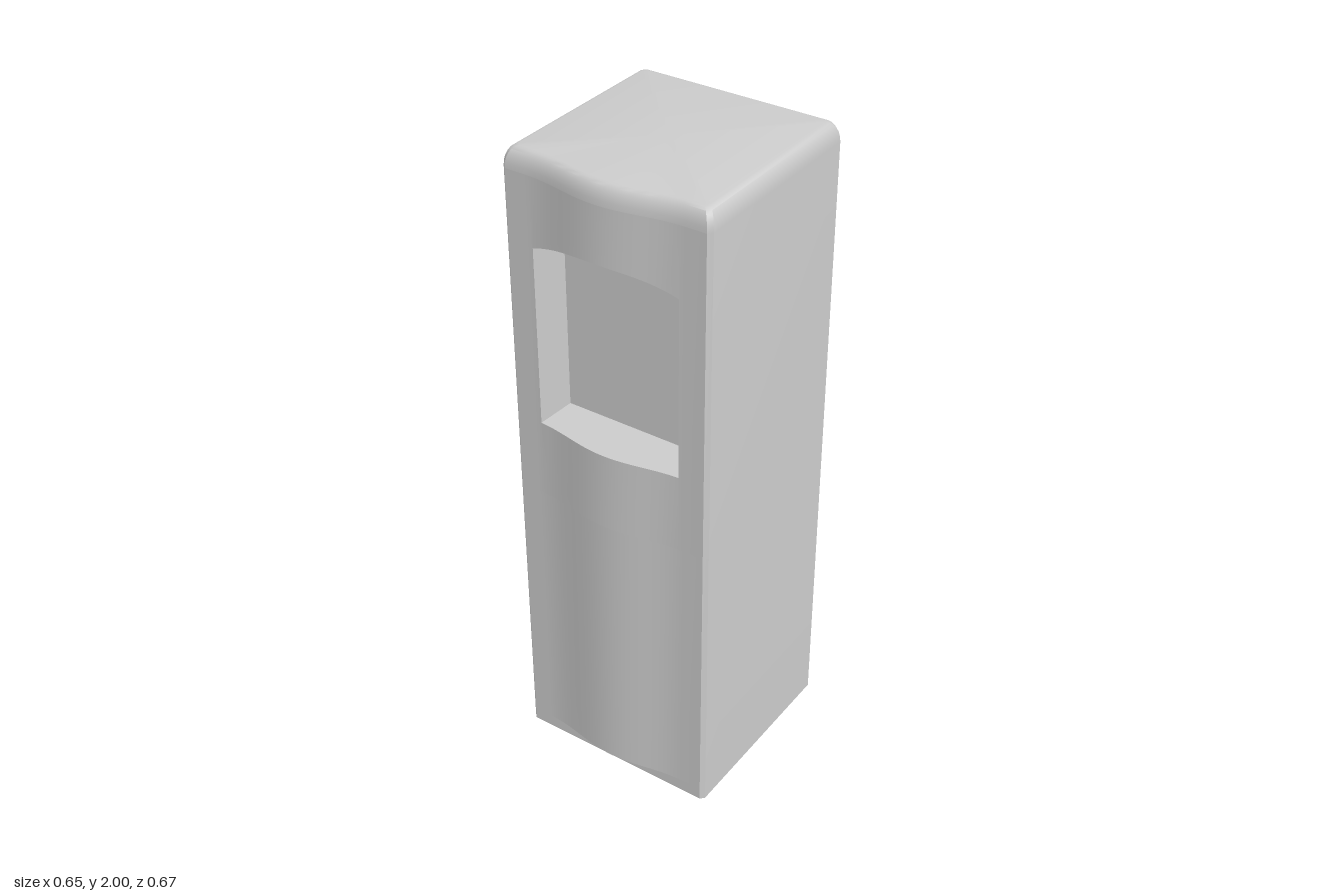
import * as THREE from 'three';
import { toCreasedNormals } from 'three/addons/utils/BufferGeometryUtils.js';

const W = 0.325, BACK = -0.333, FRONT = 0.3, CH = 0.012; // half width, depth, corner chamfer
const LIP = 0.04, SEAM = 0.93, SILL = 1.175, RIM = 1.94, TOP = 2;
const HOLE = 0.232, HOLE_Z = 0.175;

// Columns across the front, with extra ones over the niche opening
const columns = [-W + CH, -0.25];
for (let i = 0; i <= 16; i++) columns.push(-HOLE + (2 * HOLE * i) / 16);
columns.push(0.25, W - CH);

const bulge = (x) => (Math.abs(x) < 0.25 ? 0.0165 * (1 + Math.cos((Math.PI * x) / 0.25)) : 0);
const arch = (x) => 1.77 - 0.04 * (x / HOLE) ** 2;
const front = (x, y) => [x, y, FRONT + bulge(x)];

const material = new THREE.MeshStandardMaterial({ color: 0xcccccc });

// Mesh from a list of faces with three or four corners each
function meshFromFaces(name, faces) {
  const pos = [];
  for (const [a, b, c, d] of faces) {
    pos.push(...a, ...b, ...c);
    if (d) pos.push(...a, ...c, ...d);
  }
  const g = new THREE.BufferGeometry();
  g.setAttribute('position', new THREE.Float32BufferAttribute(pos, 3));
  const mesh = new THREE.Mesh(toCreasedNormals(g, 0.6), material);
  mesh.name = name;
  return mesh;
}

// Plan outline at height y, anticlockwise from above, front columns first
function outline(y, inset = 0, bulged = 1) {
  const w = W - inset, b = BACK + inset, f = FRONT - inset;
  const pts = columns.map((x) => [(x * w) / W, y, f + bulged * bulge(x)]);
  pts.push([w, y, f - CH], [w, y, b + CH], [w - CH, y, b], [-w + CH, y, b], [-w, y, b + CH], [-w, y, f - CH]);
  return pts;
}

function band(faces, low, high, from = 0) {
  for (let i = from; i < low.length; i++) {
    const j = (i + 1) % low.length;
    faces.push([low[i], low[j], high[j], high[i]]);
  }
}

function cap(faces, ring, up) {
  const c = [0, ring[0][1], 0];
  ring.forEach((p, i) => {
    const q = ring[(i + 1) % ring.length];
    faces.push(up ? [c, p, q] : [c, q, p]);
  });
}

export function createModel() {
  const group = new THREE.Group();
  group.name = 'dispenser';
  const last = columns.length - 1;

  // Cabinet: plinth, side and back walls, rounded top
  const cabinet = [];
  const base = outline(0, 0, 0), plinthTop = outline(LIP, 0, 0), lip = outline(LIP);
  cap(cabinet, base, false);
  band(cabinet, base, plinthTop);
  band(cabinet, plinthTop, outline(RIM), last);
  for (let i = 1; i < last - 1; i++) cabinet.push([plinthTop[i], plinthTop[i + 1], lip[i + 1], lip[i]]);
  let ring = outline(RIM);
  for (let k = 1; k <= 6; k++) {
    const a = (k / 6) * (Math.PI / 2);
    const next = outline(RIM + (TOP - RIM) * Math.sin(a), 0.03 * (1 - Math.cos(a)));
    band(cabinet, ring, next);
    ring = next;
  }
  cap(cabinet, ring, true);
  group.add(meshFromFaces('cabinet', cabinet));

  // Front panels and the niche, built column by column
  const door = [], panel = [], niche = [];
  const inner = (x, y) => [x * 0.97, y, HOLE_Z];
  for (let i = 0; i < last; i++) {
    const a = columns[i], b = columns[i + 1];
    const strip = (faces, ya0, yb0, ya1, yb1) =>
      faces.push([front(a, ya0), front(b, yb0), front(b, yb1), front(a, ya1)]);
    strip(door, LIP, LIP, SEAM, SEAM);
    if (a < -HOLE - 1e-6 || b > HOLE + 1e-6) {
      strip(panel, SEAM, SEAM, RIM, RIM);
      continue;
    }
    strip(panel, SEAM, SEAM, SILL, SILL);
    strip(panel, arch(a), arch(b), RIM, RIM);
    niche.push([front(a, SILL), front(b, SILL), inner(b, SILL), inner(a, SILL)]); // floor
    niche.push([inner(a, arch(a)), inner(b, arch(b)), front(b, arch(b)), front(a, arch(a))]); // ceiling
    niche.push([inner(a, SILL), inner(b, SILL), inner(b, arch(b)), inner(a, arch(a))]); // back wall
  }
  // Niche side walls
  const h = arch(HOLE);
  niche.push([front(-HOLE, SILL), inner(-HOLE, SILL), inner(-HOLE, h), front(-HOLE, h)]);
  niche.push([inner(HOLE, SILL), front(HOLE, SILL), front(HOLE, h), inner(HOLE, h)]);

  group.add(meshFromFaces('lowerDoor', door));
  group.add(meshFromFaces('upperPanel', panel));
  group.add(meshFromFaces('niche', niche));
  return group;
}
